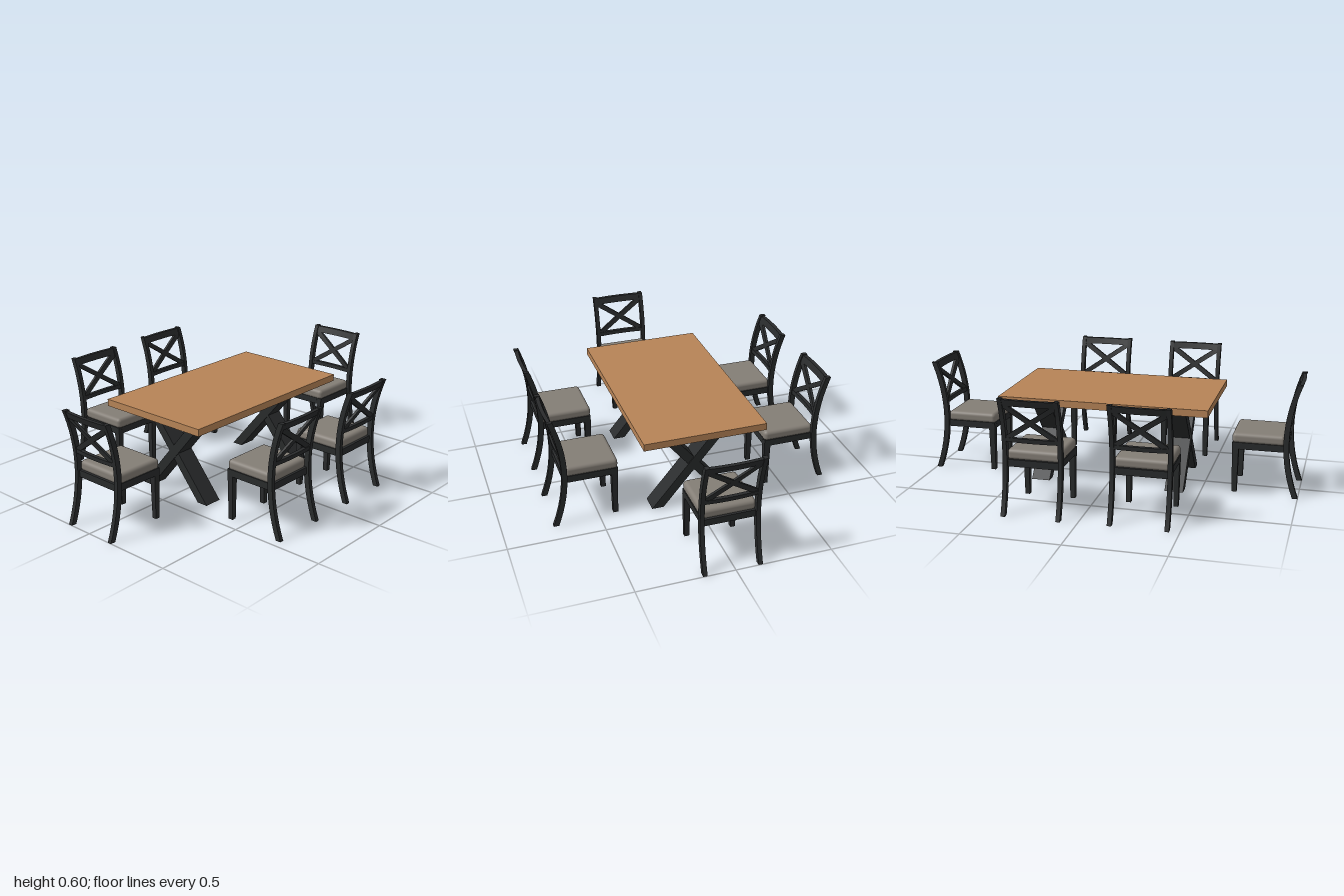
import * as THREE from 'three';
import { RoundedBoxGeometry } from 'three/addons/geometries/RoundedBoxGeometry.js';

const mat = (name, color) => {
  const m = new THREE.MeshStandardMaterial({ color });
  m.name = name;
  return m;
};

export function createModel() {
  const wood = mat('oak', 0xb78457);
  const black = mat('blackPaint', 0x292b2c);
  const fabric = mat('greyFabric', 0x847e76);
  const board = mat('seatBoard', 0xc8c8c8);

  const add = (parent, name, geometry, material, x = 0, y = 0, z = 0) => {
    const mesh = new THREE.Mesh(geometry, material);
    mesh.name = name;
    mesh.position.set(x, y, z);
    parent.add(mesh);
    return mesh;
  };

  // Moves every vertex by a rule
  const deform = (geometry, rule) => {
    const p = geometry.attributes.position;
    const v = new THREE.Vector3();
    for (let i = 0; i < p.count; i++) {
      rule(v.fromBufferAttribute(p, i));
      p.setXYZ(i, v.x, v.y, v.z);
    }
    geometry.computeVertexNormals();
    return geometry;
  };

  // Side curve of the chair back: bows towards the seat at mid height
  const backCurve = (y) => 0.278 + 0.057 * ((y - 0.3) / 0.3) ** 2;
  const bendPost = (v) => { v.z += backCurve(v.y); };
  const bendSlat = (v) => { v.z += backCurve(v.y) + 0.008 * (1 - (v.x / 0.14) ** 2); };

  // Chair with its seat front at z = 0, facing -z
  const makeChair = (name, x, z, turn) => {
    const chair = new THREE.Group();
    chair.name = name;
    chair.position.set(x, 0, z);
    chair.rotation.y = turn;

    for (const s of [-1, 1]) {
      // Curved back post, running from floor to top
      const post = new THREE.BoxGeometry(0.022, 0.6, 0.028, 1, 16, 1).translate(s * 0.141, 0.3, 0);
      add(chair, 'backPost', deform(post, bendPost), black);

      // Front leg, tapered to the floor
      const leg = new THREE.BoxGeometry(0.032, 0.26, 0.034).translate(0, 0.135, 0);
      deform(leg, (v) => { if (v.y < 0.1) { v.x *= 0.75; v.z *= 0.75; } });
      add(chair, 'frontLeg', leg, black, s * 0.122, 0, 0.019);

      add(chair, 'sideRail', new THREE.BoxGeometry(0.018, 0.036, 0.27), black, s * 0.129, 0.258, 0.137);

      // Crossed slat
      const slat = new THREE.BoxGeometry(0.315, 0.026, 0.014, 12, 1, 1)
        .rotateZ(s * 0.6).translate(0, 0.475, 0);
      add(chair, 'crossSlat', deform(slat, bendSlat), black);
    }

    // Horizontal back rails
    for (const [label, y, h] of [['topRail', 0.579, 0.034], ['lowerRail', 0.381, 0.022]]) {
      const rail = new THREE.BoxGeometry(0.265, h, 0.02, 10, 1, 1).translate(0, y, 0);
      add(chair, label, deform(rail, bendSlat), black);
    }

    // Seat
    add(chair, 'frontRail', new THREE.BoxGeometry(0.25, 0.036, 0.018), black, 0, 0.258, 0.012);
    add(chair, 'rearRail', new THREE.BoxGeometry(0.27, 0.036, 0.018), black, 0, 0.258, 0.272);
    add(chair, 'seatBoard', new THREE.BoxGeometry(0.25, 0.01, 0.26), board, 0, 0.255, 0.14);
    add(chair, 'cushion', new RoundedBoxGeometry(0.276, 0.056, 0.272, 4, 0.02), fabric, 0, 0.297, 0.136);
    return chair;
  };

  const model = new THREE.Group();
  model.name = 'diningSet';

  // Table
  const table = new THREE.Group();
  table.name = 'table';
  add(table, 'tableTop', new THREE.BoxGeometry(1.1, 0.037, 0.64), wood, -0.005, 0.4715, -0.01);
  for (const x of [-0.367, 0.362]) {
    for (const s of [-1, 1]) {
      // Leaning plank of the crossed trestle
      const plank = new THREE.BoxGeometry(0.098, 0.445, 0.062).translate(0, 0.2305, 0);
      deform(plank, (v) => {
        v.z += s * THREE.MathUtils.mapLinear(v.y, 0.008, 0.453, 0.195, -0.175) + 0.004;
      });
      add(table, 'trestlePlank', plank, black, x + s * 0.002);
    }
  }
  model.add(table);

  // Chairs around the table
  model.add(
    makeChair('frontChairRight', -0.305, 0.395, 0),
    makeChair('frontChairLeft', 0.24, 0.395, 0),
    makeChair('backChairRight', -0.297, -0.385, Math.PI),
    makeChair('backChairLeft', 0.238, -0.4, Math.PI),
    makeChair('endChairRight', -0.652, 0.003, -Math.PI / 2),
    makeChair('endChairLeft', 0.65, 0.013, Math.PI / 2),
  );
  return model;
}
